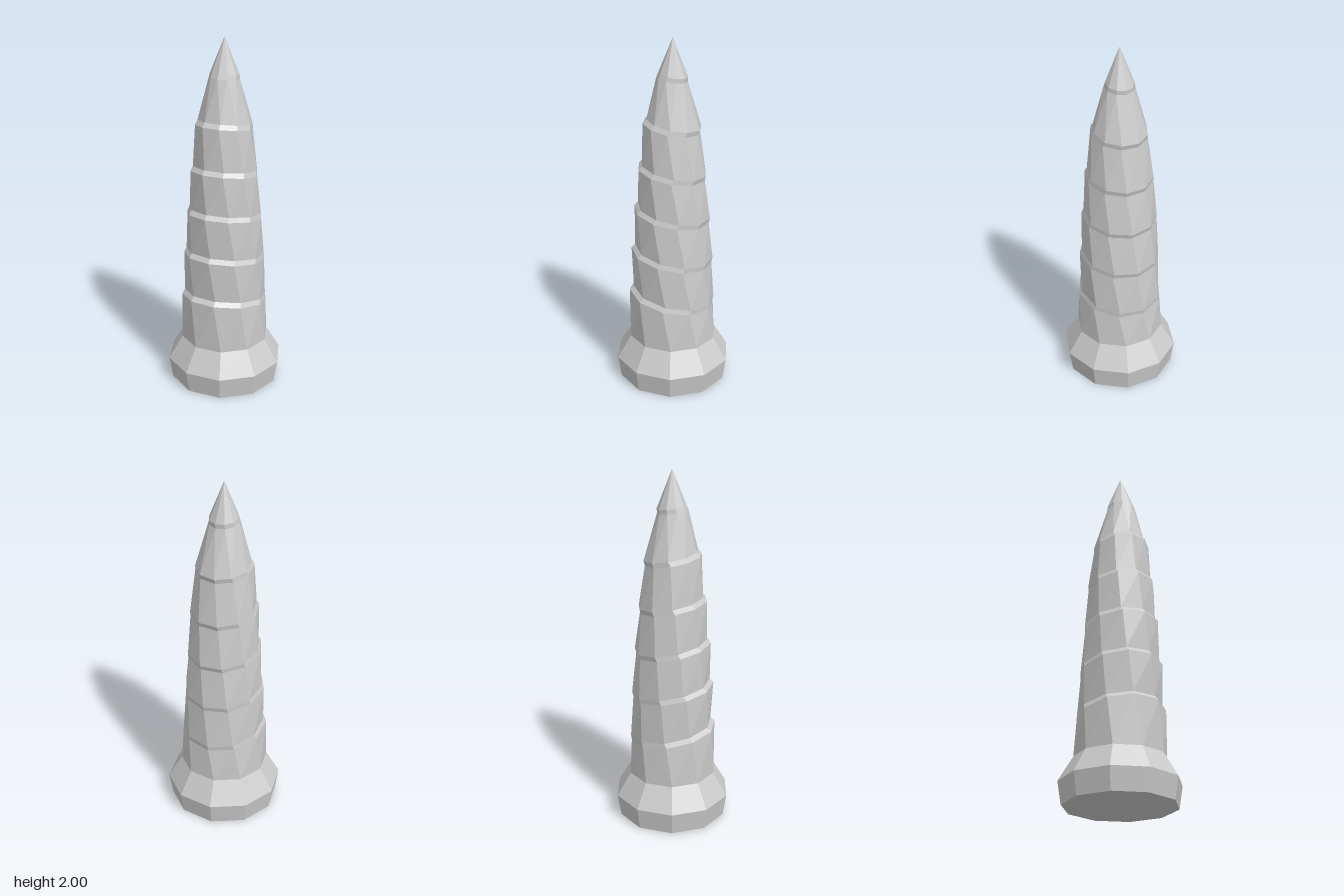
import * as THREE from 'three';

const SIDES = 10;

// One ten-sided cross-section: height, radius, shift in z, tilt (rise per z), twist in degrees
function ring({ y, r, z = 0, tilt = 0, twist = 0 }) {
  return Array.from({ length: SIDES }, (_, k) => {
    const a = THREE.MathUtils.degToRad(-2 + twist + k * 360 / SIDES);
    const pz = r * Math.sin(a);
    return [r * Math.cos(a), y + tilt * pz, pz + z];
  });
}

// Skin a stack of cross-sections, closing the bottom and/or ending in a point
function skin(name, sections, { floor = false, tip = null } = {}) {
  const rings = sections.map(ring);
  const pos = [];
  const tri = (...corners) => corners.forEach(c => pos.push(...c));
  for (let k = 0; k < SIDES; k++) {
    const n = (k + 1) % SIDES;
    for (let i = 0; i + 1 < rings.length; i++) {
      const a = rings[i], b = rings[i + 1];
      tri(a[k], b[k], a[n]);
      tri(b[k], b[n], a[n]);
    }
    const first = rings[0], last = rings[rings.length - 1];
    if (floor) tri([0, sections[0].y, 0], first[k], first[n]);
    if (tip) tri(last[k], tip, last[n]);
  }
  const geometry = new THREE.BufferGeometry();
  geometry.setAttribute('position', new THREE.Float32BufferAttribute(pos, 3));
  geometry.computeVertexNormals();
  const mesh = new THREE.Mesh(geometry, new THREE.MeshStandardMaterial({ color: 0xcccccc, flatShading: true }));
  mesh.name = name;
  return mesh;
}

export function createModel() {
  const group = new THREE.Group();
  group.name = 'spiralHorn';

  // Flared foot
  const neck = { y: 0.26, r: 0.25 };
  group.add(skin('base', [{ y: 0, r: 0.31 }, { y: 0.125, r: 0.33 }, neck], { floor: true }));

  // Tilted grooves: height, radius below, radius above, twist
  const grooves = [
    [0.51, 0.24, 0.23, 9],
    [0.765, 0.226, 0.219, 17],
    [1.015, 0.209, 0.203, 25],
    [1.265, 0.188, 0.182, 33],
    [1.525, 0.157, 0.15, 41],
    [1.79, 0.083, 0.079, 56],
  ];

  // Each segment leans forward, then a thin ledge steps back to the next one
  let start = neck;
  grooves.forEach(([y, below, above, twist], i) => {
    const shift = i === 5 ? 0.003 : 0.007;
    const tilt = i === 5 ? 0.15 : 0.18;
    const lip = { y: y - 0.012, r: below, z: shift, tilt, twist };
    const ledge = { y: y + 0.012, r: above, z: -shift, tilt, twist };
    group.add(skin(`hornSegment${i + 1}`, [start, lip, ledge]));
    start = ledge;
  });

  // Pointed end
  group.add(skin('hornTip', [start], { tip: [0, 2, 0] }));
  return group;
}
